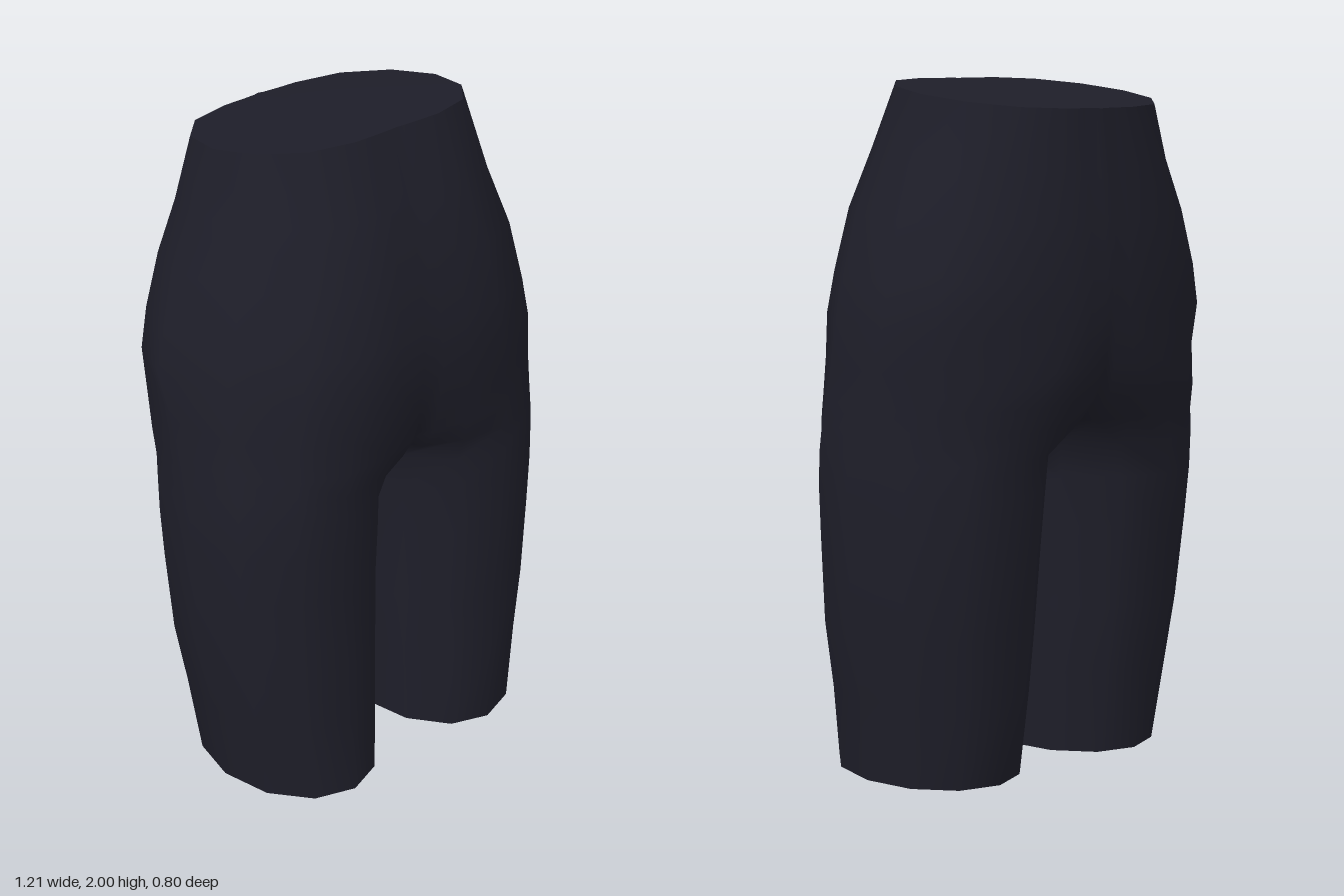
import * as THREE from 'three';
import { mergeVertices } from 'three/addons/utils/BufferGeometryUtils.js';

const STEPS = 3; // segments per quarter of a leg section

// Half sections (x >= 0) from hem to waist:
// y, front ridge x, back ridge x, inner x, outer x, front z, side z, back z, centre front z, centre back z
const SECTIONS = [
  [0, 0.275, 0.28, 0.045, 0.52, 0.382, 0.07, -0.232, 0.07, 0.07],
  [0.25, 0.285, 0.285, 0.033, 0.552, 0.382, 0.06, -0.27, 0.06, 0.06],
  [0.45, 0.295, 0.29, 0.025, 0.587, 0.382, 0.055, -0.295, 0.055, 0.055],
  [0.7, 0.303, 0.295, 0.023, 0.6, 0.385, 0.05, -0.325, 0.05, 0.05],
  [0.85, 0.305, 0.3, 0.01, 0.605, 0.387, 0.05, -0.34, 0.05, 0.05],
  [0.95, 0.305, 0.3, 0, 0.603, 0.387, 0.045, -0.345, 0.03, 0.03],
  [1.03, 0.305, 0.29, 0, 0.598, 0.387, 0.03, -0.348, 0.25, -0.26],
  [1.1, 0.3, 0.26, 0, 0.594, 0.387, 0, -0.37, 0.335, -0.335],
  [1.2, 0.29, 0.21, 0, 0.59, 0.389, -0.04, -0.387, 0.37, -0.375],
  [1.33, 0.27, 0.16, 0, 0.59, 0.401, -0.09, -0.393, 0.39, -0.392],
  [1.45, 0.25, 0.15, 0, 0.565, 0.392, -0.09, -0.396, 0.387, -0.4],
  [1.62, 0.22, 0.15, 0, 0.518, 0.365, -0.08, -0.384, 0.362, -0.39],
  [1.78, 0.18, 0.14, 0, 0.457, 0.312, -0.07, -0.363, 0.308, -0.372],
  [1.968, 0.15, 0.13, 0, 0.408, 0.236, -0.05, -0.343, 0.23, -0.355],
];

// Points of one section: inner front, outer front, outer back, inner back
function sectionPoints([y, cxf, cxb, xi, xo, zf, zc, zb, zfc, zbc]) {
  const tilt = 0.29 * Math.max(0, y - 1.5); // the waist drops towards the back
  const points = [];
  for (let i = 0; i <= 4 * STEPS; i++) {
    const quarter = Math.min(3, Math.floor(i / STEPS));
    const angle = (i / STEPS) * Math.PI / 2;
    const s = Math.abs(Math.cos(angle)); // sideways reach from the ridge
    const d = Math.abs(Math.sin(angle)); // reach to the front or back
    const side = quarter === 0 || quarter === 3 ? xi : xo;
    const cx = quarter < 2 ? cxf : cxb;
    const base = [zfc, zc, zc, zbc][quarter];
    const end = quarter < 2 ? zf : zb;
    const z = base + (end - base) * d;
    points.push([cx + (side - cx) * s, y + tilt * z, z]);
  }
  return points;
}

function geometryFrom(triangles) {
  const geometry = new THREE.BufferGeometry();
  geometry.setAttribute('position', new THREE.Float32BufferAttribute(triangles.flat(2), 3));
  const merged = mergeVertices(geometry, 1e-4);
  merged.computeVertexNormals();
  return merged;
}

// Mirror across the centre plane and reverse the winding
const mirror = (triangles) =>
  triangles.map(([a, b, c]) => [a, c, b].map(([x, y, z]) => [-x, y, z]));

export function createModel() {
  const model = new THREE.Group();
  model.name = 'shorts';
  const fabric = new THREE.MeshStandardMaterial({ color: 0x1e1e29, side: THREE.DoubleSide });
  fabric.name = 'dark navy fabric';

  const add = (name, half) => {
    const mesh = new THREE.Mesh(geometryFrom([...half, ...mirror(half)]), fabric);
    mesh.name = name;
    model.add(mesh);
  };

  // Hips and both legs as one smooth skin, open at the hems
  const rings = SECTIONS.map(sectionPoints);
  const skin = [];
  for (let r = 0; r < rings.length - 1; r++) {
    const low = rings[r], high = rings[r + 1];
    for (let i = 0; i < low.length - 1; i++) {
      skin.push([low[i], low[i + 1], high[i + 1]], [low[i], high[i + 1], high[i]]);
    }
  }
  add('shortsBody', skin);

  // Slanted waist cap
  const waist = rings[rings.length - 1];
  const centre = [0, 1.96, -0.06];
  add('waistCap', waist.slice(1).map((p, i) => [centre, waist[i], p]));

  return model;
}
